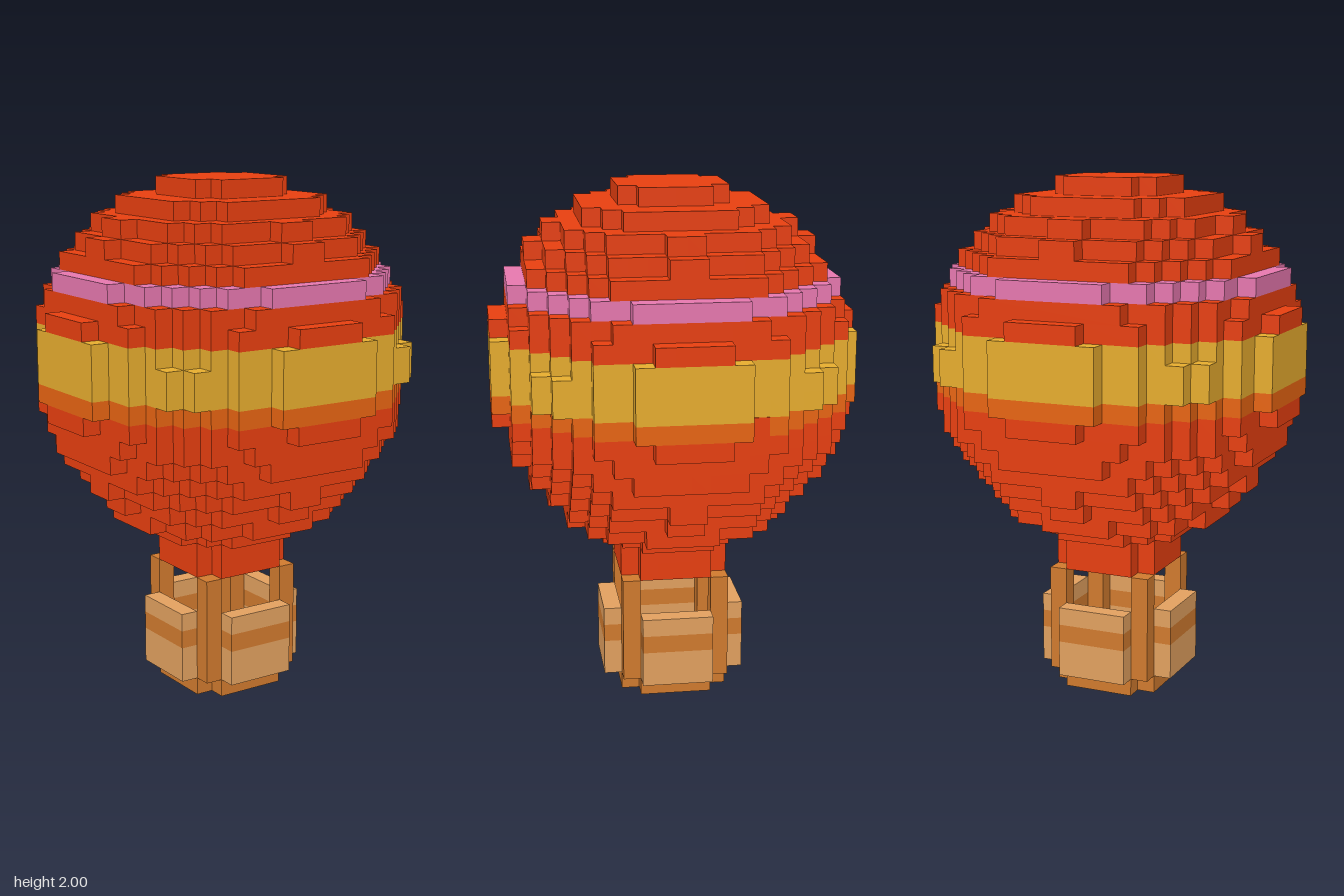
import * as THREE from 'three';
import { mergeGeometries } from 'three/addons/utils/BufferGeometryUtils.js';

const U = 2 / 29; // edge of one cube

const mat = (name, color) => {
  const m = new THREE.MeshStandardMaterial({ color });
  m.name = name;
  return m;
};

// Box given by its corners in cube units
function box(x0, x1, y0, y1, z0, z1) {
  return new THREE.BoxGeometry((x1 - x0) * U, (y1 - y0) * U, (z1 - z0) * U)
    .translate((x0 + x1) / 2 * U, (y0 + y1) / 2 * U, (z0 + z1) / 2 * U);
}

// One-cube-high slab whose outline is a circle stepped to the cube grid
function disc(layer, r2) {
  const half = z => { // half width of the row centred on z
    let n = 0;
    while ((n + 0.5) ** 2 + z * z <= r2) n++;
    return n;
  };
  const side = [];
  for (let z = -10; z < 10; z++) {
    const h = half(z + 0.5);
    if (h) side.push([h, z], [h, z + 1]);
  }
  const pts = [...side, ...side.slice().reverse().map(([x, z]) => [-x, z])];
  const shape = new THREE.Shape(pts.map(([x, z]) => new THREE.Vector2(x * U, z * U)));
  return new THREE.ExtrudeGeometry(shape, { depth: U, bevelEnabled: false })
    .rotateX(-Math.PI / 2).translate(0, layer * U, 0);
}

// Squared radius of each envelope layer: a ball with a neck and fuller throat
function radius2(layer) {
  if (layer < 9) return 9;
  if (layer === 9) return 16;
  if (layer === 10) return 36;
  return 100 - (layer + 0.5 - 19) ** 2;
}

export function createModel() {
  const group = new THREE.Group();
  group.name = 'hotAirBalloon';
  const red = mat('red', 0xe73f10);
  const orange = mat('orange', 0xe76412);
  const yellow = mat('yellow', 0xe6ac2e);
  const pink = mat('pink', 0xe677ae);
  const brown = mat('brown', 0xd07a2e);
  const tan = mat('tan', 0xe1a05f);

  const add = (name, geometry, material) => {
    const mesh = new THREE.Mesh(geometry, material);
    mesh.name = name;
    group.add(mesh);
  };

  // Envelope, in colour bands of whole layers
  const bands = [
    ['neck', 7, 8, red],
    ['lowerEnvelope', 9, 16, red],
    ['orangeBand', 17, 17, orange],
    ['yellowBand', 18, 20, yellow],
    ['middleEnvelope', 21, 22, red],
    ['pinkBand', 23, 23, pink],
    ['crown', 24, 28, red],
  ];
  for (const [name, from, to, material] of bands) {
    const layers = [];
    for (let i = from; i <= to; i++) layers.push(disc(i, radius2(i)));
    add(name, mergeGeometries(layers), material);
  }
  // Single red patch in the orange band
  add('redPatch', box(9, 9.04, 17, 18, -4, -3), red);

  // Basket floor, a square without its corners
  add('basketFloor', disc(0, 9), brown);

  // Four walls with a darker stripe, and four corner posts
  for (let i = 0; i < 4; i++) {
    const turn = g => g.rotateY(i * Math.PI / 2);
    add('basketWallLower', turn(box(-2, 2, 1, 3, 3, 4)), tan);
    add('basketWallStripe', turn(box(-2, 2, 3, 4, 3, 4)), brown);
    add('basketWallUpper', turn(box(-2, 2, 4, 5, 3, 4)), tan);
    add('cornerPost', turn(box(2, 3, 1, 7, 2, 3)), brown);
  }
  return group;
}
